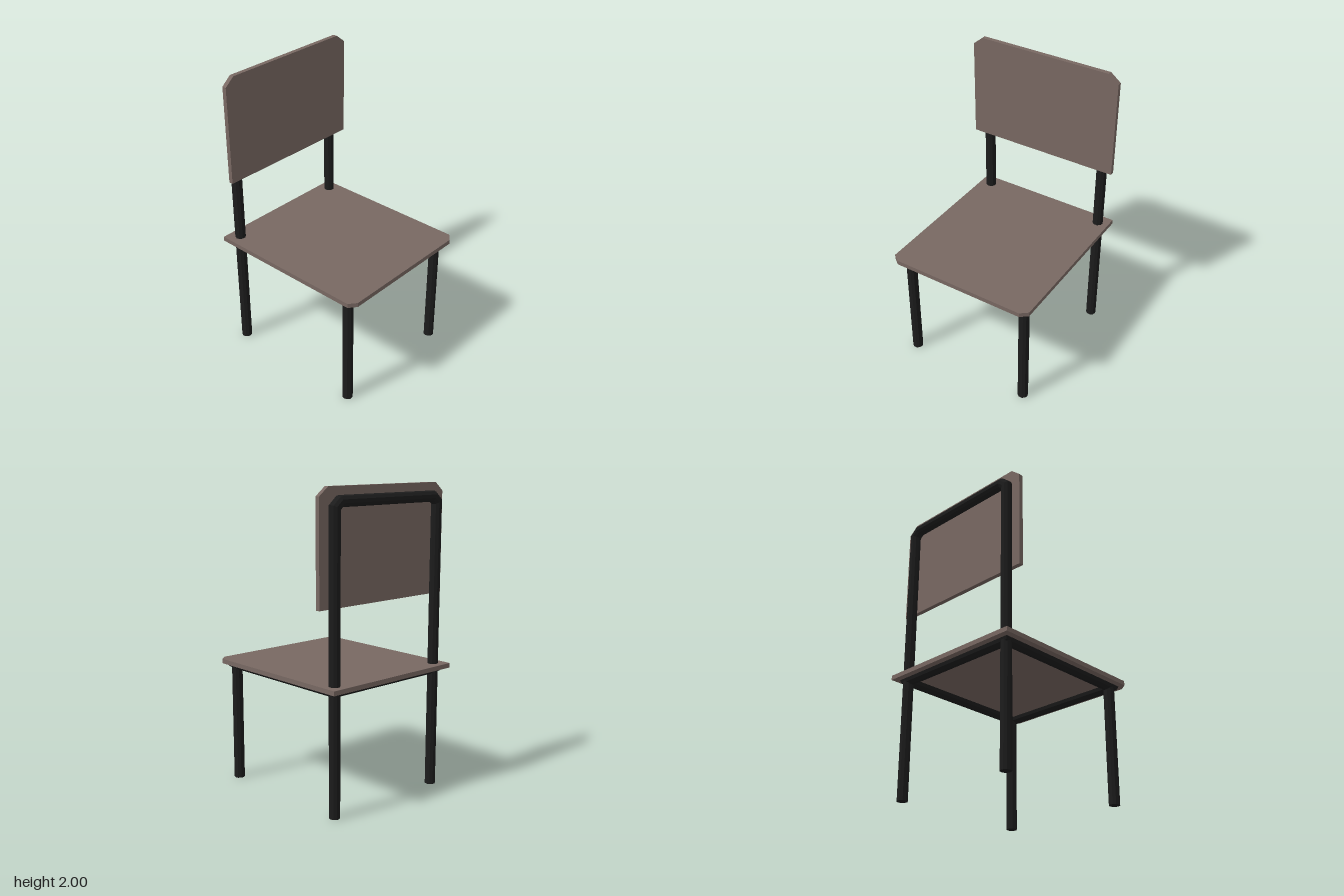
import * as THREE from 'three';

const SIDES = 10;

// Flat-faced shading
function flat(geometry) {
  const g = geometry.index ? geometry.toNonIndexed() : geometry;
  g.computeVertexNormals();
  return g;
}

// Board of 0.03 thickness from an outline
function board(points) {
  const shape = new THREE.Shape(points.map(([a, b]) => new THREE.Vector2(a, b)));
  return new THREE.ExtrudeGeometry(shape, { depth: 0.03, bevelEnabled: false });
}

// Mitred pipe along a flat path; arc is the swept part of the circular profile
function pipe(path, closed, radius, arc, steps, place) {
  const pts = path.map(([a, b]) => new THREE.Vector2(a, b));
  const n = pts.length;
  const normal = (i) => {
    const d = pts[(i + 1) % n].clone().sub(pts[i]).normalize();
    return new THREE.Vector2(-d.y, d.x);
  };
  const positions = [], index = [];
  pts.forEach((p, i) => {
    const before = normal(i > 0 ? i - 1 : closed ? n - 1 : 0);
    const after = normal(i < n - 1 || closed ? i : i - 1);
    const mitre = before.clone().add(after).divideScalar(1 + before.dot(after));
    for (let j = 0; j <= steps; j++) {
      const t = (arc * j) / steps;
      const q = p.clone().addScaledVector(mitre, radius * Math.cos(t));
      positions.push(...place(q.x, q.y, radius * Math.sin(t)));
    }
  });
  const row = steps + 1;
  for (let i = 0; i < (closed ? n : n - 1); i++) {
    for (let j = 0; j < steps; j++) {
      const a = i * row + j, c = ((i + 1) % n) * row + j;
      index.push(a, a + 1, c, a + 1, c + 1, c);
    }
  }
  const g = new THREE.BufferGeometry();
  g.setAttribute('position', new THREE.Float32BufferAttribute(positions, 3));
  g.setIndex(index);
  return flat(g);
}

export function createModel() {
  const chair = new THREE.Group();
  chair.name = 'chair';
  const wood = new THREE.MeshStandardMaterial({ color: 0x786862 });
  wood.name = 'brown wood';
  const metal = new THREE.MeshStandardMaterial({ color: 0x1c1c1c });
  metal.name = 'black metal';

  const add = (name, geometry, material, x = 0, y = 0, z = 0) => {
    const mesh = new THREE.Mesh(geometry, material);
    mesh.name = name;
    mesh.position.set(x, y, z);
    chair.add(mesh);
  };

  // Seat board with clipped front corners
  const seat = board([[-0.575, -0.51], [0.53, -0.51], [0.57, -0.46], [0.57, 0.47], [0.53, 0.52], [-0.575, 0.52]]);
  add('seat', seat.rotateX(Math.PI / 2), wood, 0, 0.83, 0);

  // Backrest board with clipped top corners
  const back = board([[-0.53, 1.29], [0.525, 1.29], [0.525, 1.945], [0.46, 2], [-0.46, 2], [-0.53, 1.945]]);
  add('backrest', back.rotateY(-Math.PI / 2), wood, -0.44, 0, 0);

  // Four legs
  for (const [end, x] of [['front', 0.465], ['back', -0.497]]) {
    for (const [side, z] of [['Left', -0.435], ['Right', 0.44]]) {
      const leg = new THREE.CylinderGeometry(0.035, 0.035, 0.8, SIDES);
      add(end + 'Leg' + side, flat(leg), metal, x, 0.4, z);
    }
  }

  // Bent pipe behind the backrest, rising from the back legs
  const hoop = [[0.44, 0.79], [0.44, 1.88], [0.4, 1.915], [-0.395, 1.915], [-0.435, 1.88], [-0.435, 0.79]];
  add('backHoop', pipe(hoop, false, 0.035, Math.PI * 2, SIDES, (a, b, c) => [-0.497 - c, b, a]), metal);

  // Half-round rail under the seat
  const rail = [[-0.495, -0.435], [0.48, -0.435], [0.48, 0.44], [-0.495, 0.44]];
  add('seatRail', pipe(rail, true, 0.04, Math.PI, 5, (a, b, c) => [a, 0.802 - c, b]), metal);

  return chair;
}
